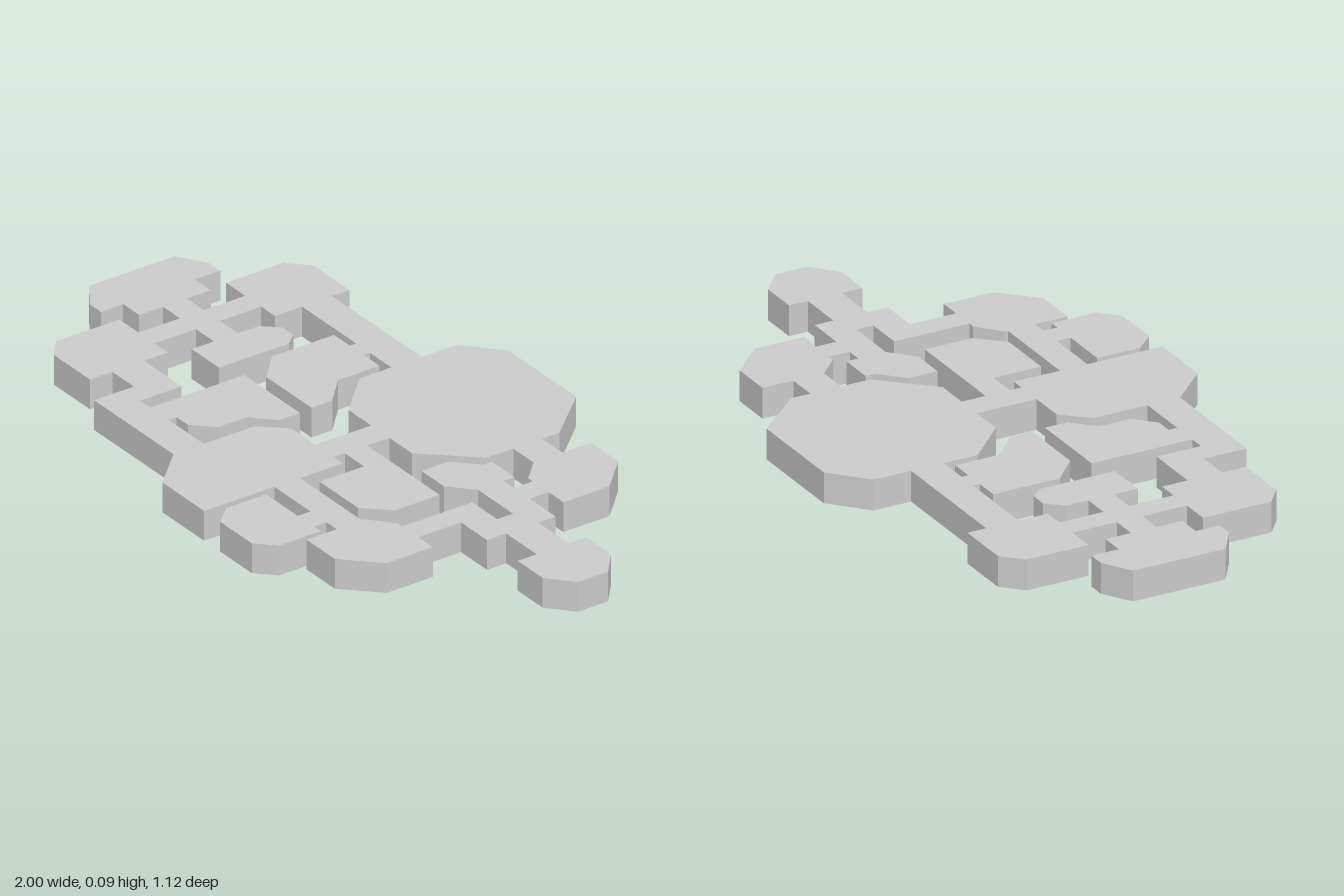
import * as THREE from 'three';

const HEIGHT = 0.087;

// Room outlines as [x, z] corners on the floor plan
const ROOMS = {
  greatHall: [[-0.1, -0.565], [0.2, -0.565], [0.33, -0.42], [0.33, -0.19], [0.2, -0.05], [-0.08, -0.05], [-0.2, -0.17], [-0.2, -0.475]],
  northWestRoom: [[-0.755, -0.42], [-0.595, -0.42], [-0.595, -0.185], [-0.81, -0.185], [-0.81, -0.365]],
  westRoom: [[-1, -0.16], [-0.92, -0.21], [-0.87, -0.21], [-0.87, -0.13], [-0.8, -0.13], [-0.8, 0.095], [-0.87, 0.095], [-0.87, 0.165], [-0.92, 0.165], [-1, 0.11]],
  smallWestRoom: [[-0.535, -0.165], [-0.485, -0.165], [-0.455, -0.13], [-0.455, 0.09], [-0.575, 0.09], [-0.575, -0.12]],
  southWestRoom: [[-0.81, 0.15], [-0.595, 0.15], [-0.595, 0.395], [-0.755, 0.395], [-0.81, 0.35]],
  innerNorthRoom: [[-0.425, -0.25], [-0.225, -0.25], [-0.225, -0.12], [-0.145, -0.045], [-0.145, 0.02], [-0.345, 0.02], [-0.425, -0.055]],
  innerSouthRoom: [[-0.385, 0.06], [-0.14, 0.06], [-0.14, 0.125], [-0.2, 0.185], [-0.2, 0.275], [-0.255, 0.33], [-0.305, 0.33], [-0.305, 0.355], [-0.385, 0.355]],
  southHall: [[-0.085, 0.125], [0.14, 0.125], [0.14, 0.56], [-0.045, 0.56], [-0.15, 0.45], [-0.15, 0.195]],
  innerEastRoom: [[0.185, 0.02], [0.42, 0.02], [0.42, 0.16], [0.355, 0.23], [0.185, 0.23]],
  southRoom: [[0.16, 0.38], [0.4, 0.38], [0.4, 0.51], [0.35, 0.56], [0.21, 0.56], [0.16, 0.505]],
  southEastRoom: [[0.48, 0.195], [0.635, 0.195], [0.635, 0.34], [0.54, 0.435], [0.415, 0.435], [0.415, 0.25]],
  northEastRoom: [[0.42, -0.455], [0.54, -0.455], [0.635, -0.36], [0.635, -0.215], [0.48, -0.215], [0.42, -0.275]],
  smallEastRoom: [[0.355, -0.19], [0.455, -0.19], [0.455, -0.075], [0.39, -0.015], [0.29, -0.015], [0.29, -0.1], [0.355, -0.165]],
  eastRoom: [[0.82, -0.155], [0.93, -0.155], [1, -0.095], [1, 0], [0.93, 0.06], [0.82, 0.06]],
};

// Straight corridors as [x0, z0, x1, z1]
const CORRIDORS = {
  northWestCorridor: [-0.595, -0.365, -0.2, -0.27],
  innerNorthDoor: [-0.355, -0.27, -0.295, -0.25],
  northEastCorridor: [0.33, -0.365, 0.42, -0.275],
  southWestCorridor: [-0.595, 0.225, -0.43, 0.325],
  centreCorridor: [0.02, -0.05, 0.1, 0.125],
  innerEastCorridor: [0.1, 0.02, 0.185, 0.09],
  southEastCorridor: [0.14, 0.26, 0.415, 0.34],
  southDoor: [0.3, 0.34, 0.37, 0.38],
  northEastDoor: [0.5, -0.215, 0.57, -0.155],
  eastCorridor: [0.685, -0.1, 0.82, 0],
};

// Corridors that turn or cross, as [x, z] corners
const BENT_CORRIDORS = {
  westCrossing: [[-0.725, -0.185], [-0.655, -0.185], [-0.655, -0.055], [-0.575, -0.055], [-0.575, 0.02], [-0.655, 0.02],
    [-0.655, 0.15], [-0.725, 0.15], [-0.725, 0.02], [-0.8, 0.02], [-0.8, -0.055], [-0.725, -0.055]],
  southBend: [[-0.5, 0.325], [-0.43, 0.325], [-0.43, 0.355], [-0.15, 0.355], [-0.15, 0.45], [-0.5, 0.45]],
  eastBend: [[0.455, -0.155], [0.685, -0.155], [0.685, 0.06], [0.57, 0.06], [0.57, 0.195], [0.5, 0.195],
    [0.5, -0.025], [0.61, -0.025], [0.61, -0.075], [0.455, -0.075]],
};

export function createModel() {
  const group = new THREE.Group();
  group.name = 'floorPlan';
  const material = new THREE.MeshStandardMaterial({ color: 0xcccccc, flatShading: true });

  // Raise a floor outline into a slab standing on y = 0
  const addSlab = (name, outline) => {
    const shape = new THREE.Shape(outline.map(([x, z]) => new THREE.Vector2(x, -z)));
    const geometry = new THREE.ExtrudeGeometry(shape, { depth: HEIGHT, bevelEnabled: false });
    geometry.rotateX(-Math.PI / 2);
    const mesh = new THREE.Mesh(geometry, material);
    mesh.name = name;
    group.add(mesh);
  };

  for (const [name, outline] of Object.entries({ ...ROOMS, ...BENT_CORRIDORS })) addSlab(name, outline);
  for (const [name, [x0, z0, x1, z1]] of Object.entries(CORRIDORS)) {
    addSlab(name, [[x0, z0], [x1, z0], [x1, z1], [x0, z1]]);
  }
  return group;
}
